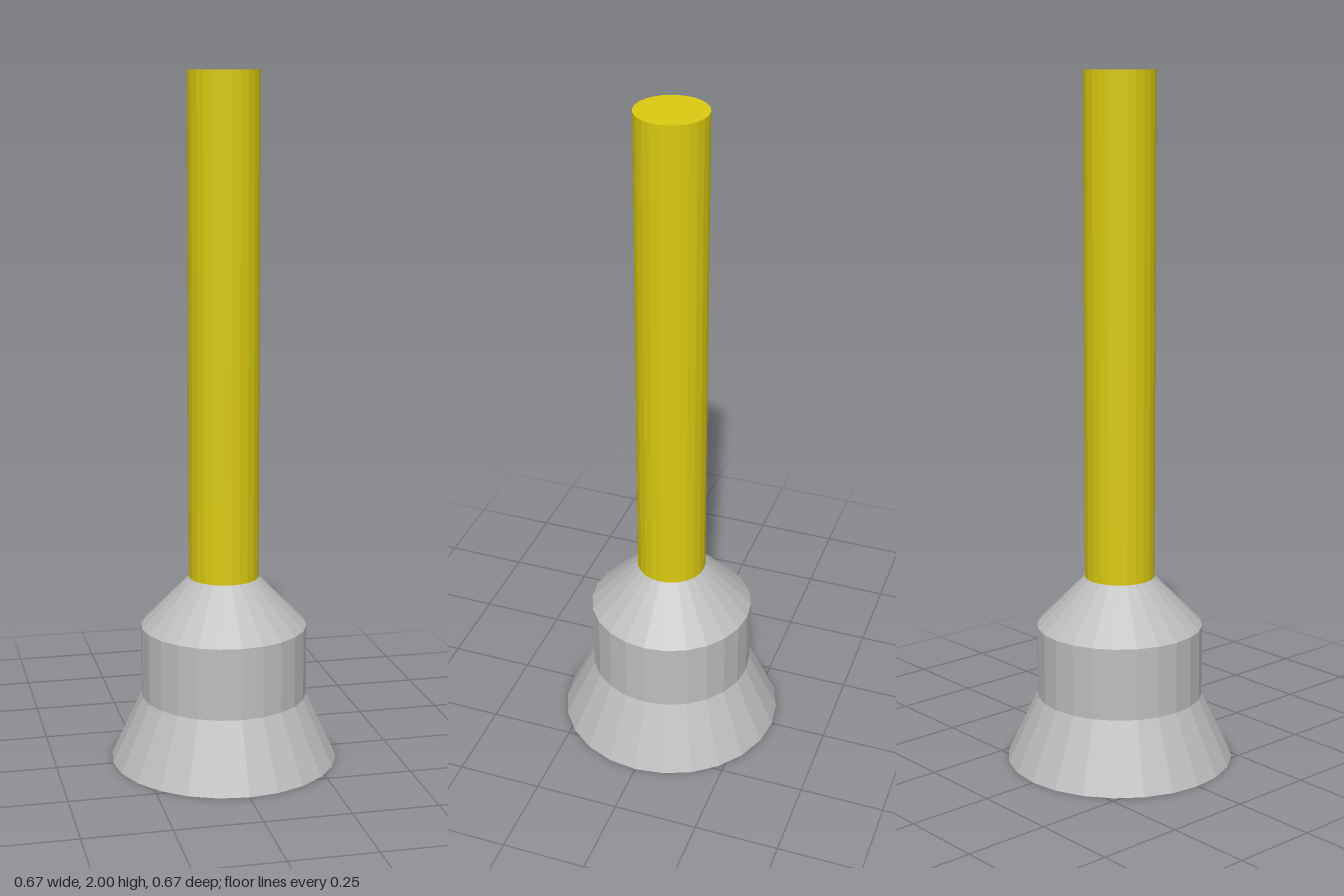
import * as THREE from 'three';

const SIDES = 24;

export function createModel() {
  const model = new THREE.Group();
  const grey = new THREE.MeshStandardMaterial({ color: 0xbebebe, flatShading: true });
  grey.name = 'grey metal';
  const yellow = new THREE.MeshStandardMaterial({ color: 0xdaca10, flatShading: true });
  yellow.name = 'yellow';

  // Flared base, collar and shoulder, closed underneath
  const profile = [[0, 0], [0.333, 0], [0.243, 0.195], [0.243, 0.405], [0.102, 0.55], [0, 0.55]]
    .map(([r, y]) => new THREE.Vector2(r, y));
  const base = new THREE.Mesh(new THREE.LatheGeometry(profile, SIDES), grey);
  base.name = 'base';
  model.add(base);

  // Straight pole standing on the shoulder
  const pole = new THREE.Mesh(new THREE.CylinderGeometry(0.102, 0.102, 1.45, SIDES), yellow);
  pole.name = 'pole';
  pole.position.y = 1.275;
  model.add(pole);

  return model;
}
